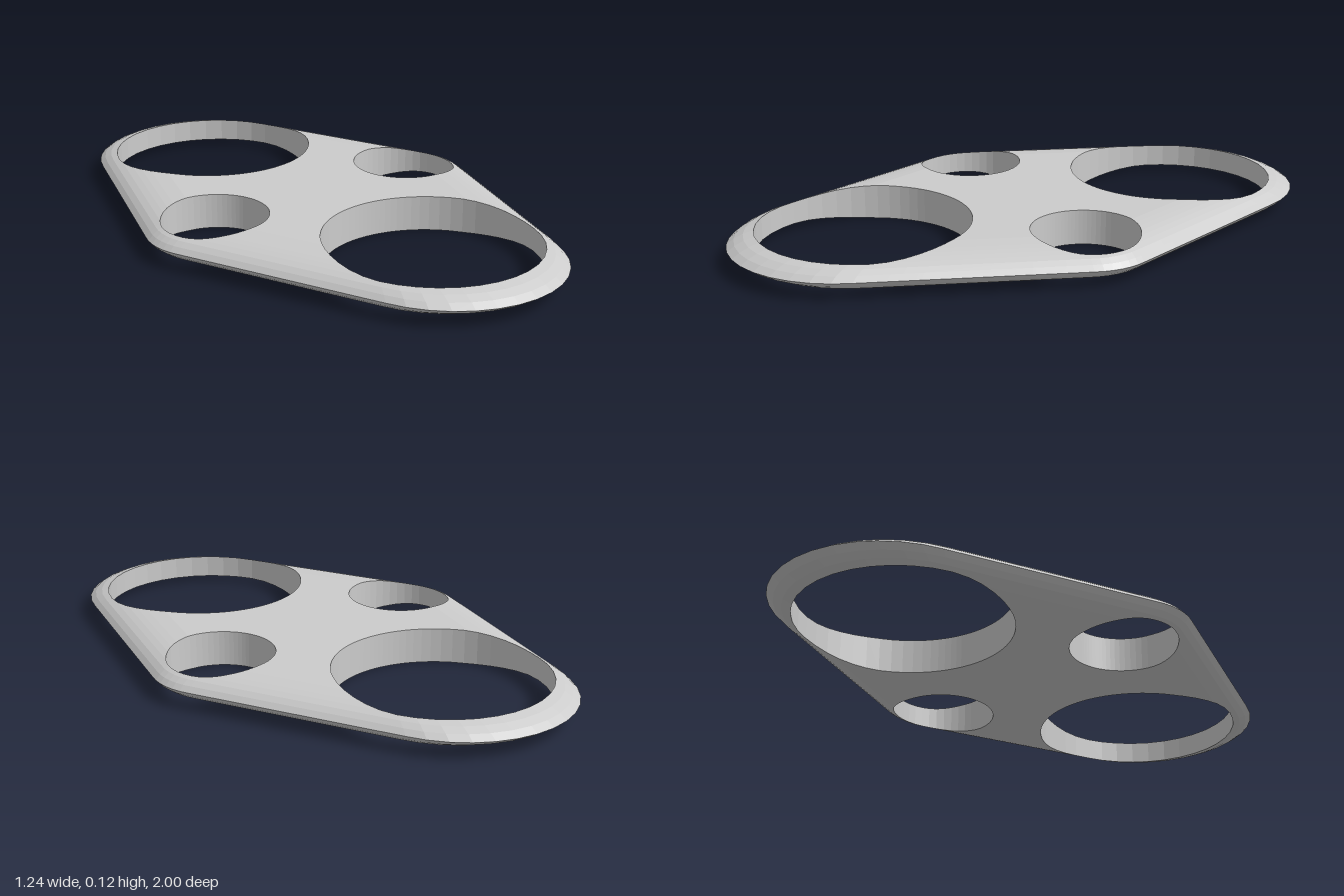
import * as THREE from 'three';

// Outline: taut hull around two end circles (on z) and two side circles (on x)
const END = { c: 0.63, r: 0.37 }, SIDE = { c: 0.4, r: 0.22 };
// Holes, as centre distance and radius
const BIG = { c: 0.57, r: 0.341 }, SMALL = { c: 0.4, r: 0.172 };
const MID = 0.0575; // half thickness
const STEPS = 28;   // rays per hole

// Domed rim: [fraction of the outline, half height]
const PROFILE = [[0, MID], [0.72, MID], [0.76, 0.0555], [0.8, 0.053], [0.84, 0.0495], [0.875, 0.045],
  [0.91, 0.0385], [0.945, 0.0295], [0.975, 0.0165], [1, 0]];

function halfHeight(s) {
  for (let i = 1; i < PROFILE.length; i++) {
    const [s0, h0] = PROFILE[i - 1], [s1, h1] = PROFILE[i];
    if (s <= s1) return h0 + (h1 - h0) * (s - s0) / (s1 - s0);
  }
  return 0;
}

// Distance from the centre to the outline along an angle
const phi = Math.acos((END.r - SIDE.r) / Math.hypot(SIDE.c, END.c)) - Math.atan2(END.c, SIDE.c);
const nx = Math.cos(phi), nz = Math.sin(phi);
function outline(angle) {
  const dx = Math.abs(Math.cos(angle)), dz = Math.abs(Math.sin(angle));
  const t = (SIDE.c * nx + SIDE.r) / (nx * dx + nz * dz);
  if (t * dz < SIDE.r * nz) return SIDE.c * dx + Math.sqrt(SIDE.r ** 2 - (SIDE.c * dz) ** 2);
  if (t * dz > END.c + END.r * nz) return END.c * dz + Math.sqrt(END.r ** 2 - (END.c * dx) ** 2);
  return t;
}

// Rays sweeping round the plate; each knows where it enters and leaves a hole
function makeRays() {
  const rays = [];
  [SMALL, BIG, SMALL, BIG].forEach((hole, k) => {
    for (let i = 0; i <= STEPS; i++) {
      const u = -Math.PI / 2 + Math.PI * i / STEPS;
      const off = Math.asin(hole.r / hole.c * Math.sin(u));
      const angle = k * Math.PI / 2 + off;
      const R = outline(angle), m = hole.c * Math.cos(off), w = hole.r * Math.cos(u);
      rays.push({ angle, R, near: (m - w) / R, far: (m + w) / R, last: i === STEPS });
    }
  });
  return rays;
}

function point(ray, s, side) {
  const d = s * ray.R;
  return new THREE.Vector3(d * Math.cos(ray.angle), MID + side * halfHeight(s), d * Math.sin(ray.angle));
}

// Collects quads, dropping collapsed triangles
function addQuad(out, a, b, c, d, flip) {
  for (const [p, q, r] of [[a, b, c], [a, c, d]]) {
    const area = q.clone().sub(p).cross(r.clone().sub(p)).length();
    if (area < 1e-9) continue;
    for (const v of flip ? [p, r, q] : [p, q, r]) out.push(v.x, v.y, v.z);
  }
}

function makeMesh(name, positions) {
  const geometry = new THREE.BufferGeometry();
  geometry.setAttribute('position', new THREE.Float32BufferAttribute(positions, 3));
  geometry.computeVertexNormals();
  const mesh = new THREE.Mesh(geometry, new THREE.MeshStandardMaterial({ color: 0xcccccc, flatShading: true }));
  mesh.name = name;
  return mesh;
}

export function createModel() {
  const rays = makeRays();
  const faces = { 1: [], '-1': [] }, walls = [];
  rays.forEach((p, j) => {
    const q = rays[(j + 1) % rays.length];
    // Upper and lower faces, inside and outside the holes
    for (const side of [1, -1]) {
      for (const outer of [false, true]) {
        const at = (ray, s) => point(ray, outer ? Math.max(s, ray.far) : Math.min(s, ray.near), side);
        for (let i = 1; i < PROFILE.length; i++) {
          const s0 = PROFILE[i - 1][0], s1 = PROFILE[i][0];
          addQuad(faces[side], at(p, s0), at(q, s0), at(q, s1), at(p, s1), side < 0);
        }
      }
    }
    // Hole walls
    if (p.last) return;
    for (const edge of ['near', 'far']) {
      addQuad(walls, point(p, p[edge], 1), point(q, q[edge], 1),
        point(q, q[edge], -1), point(p, p[edge], -1), edge === 'far');
    }
  });

  const group = new THREE.Group();
  group.name = 'fourHolePlate';
  group.add(makeMesh('upperFace', faces[1]), makeMesh('lowerFace', faces[-1]), makeMesh('holeWalls', walls));
  return group;
}
